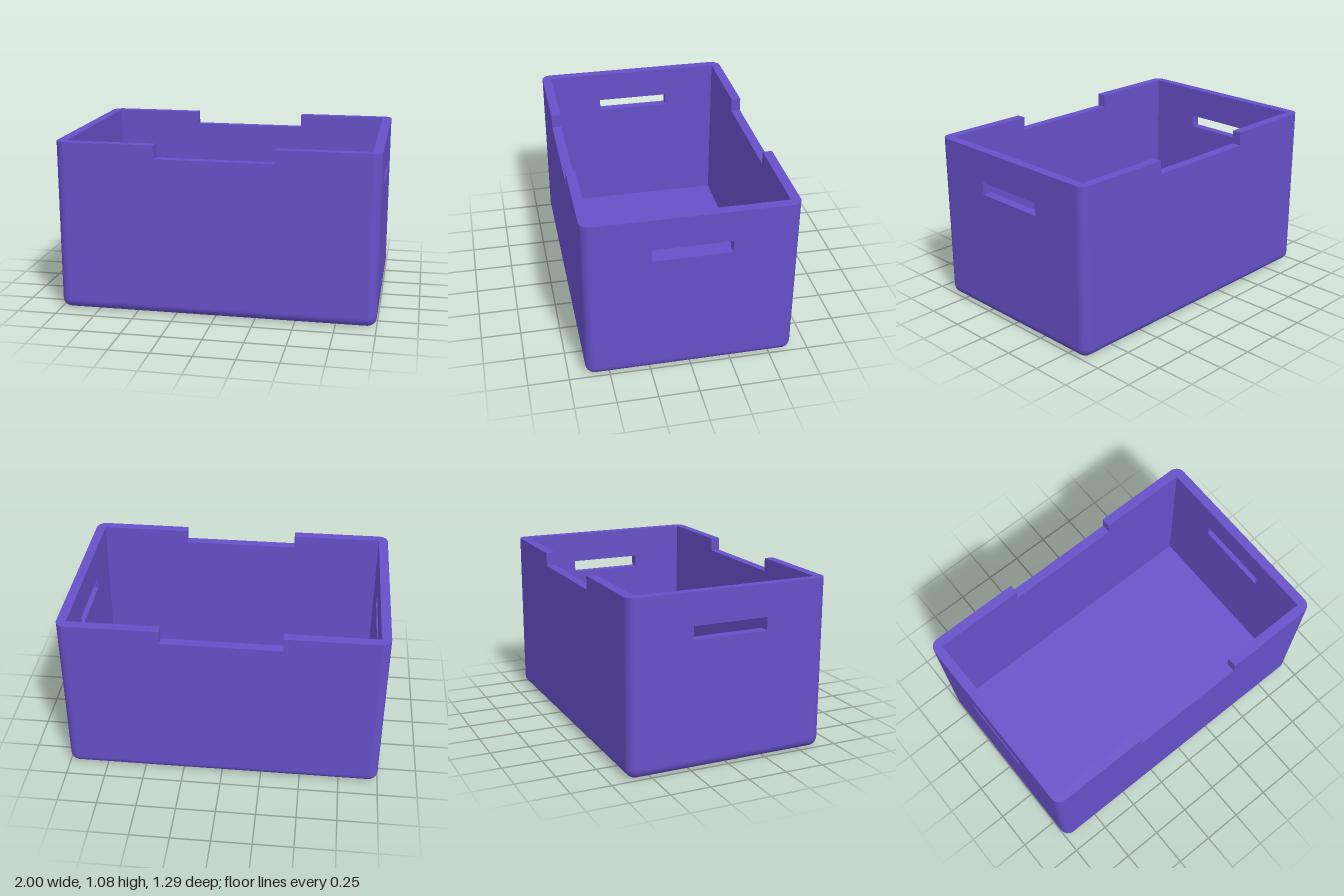
import * as THREE from 'three';

const HX = 0.94, HZ = 0.585;   // inner half sizes
const R = 0.06;                // wall thickness and outer rounding
const H = 1.08;                // overall height
const SEG = 6;
const Q = Math.PI / 2;

// Wall panel extruded outwards, without the faces hidden in the seams
function panel(shape, half) {
  const src = new THREE.ExtrudeGeometry(shape, { depth: R, bevelEnabled: false });
  const p = src.attributes.position, kept = [];
  const near = (a, b) => Math.abs(a - b) < 1e-5;
  for (let i = 0; i < p.count; i += 3) {
    const t = [i, i + 1, i + 2];
    const hidden = t.every(j => near(p.getX(j), half)) || t.every(j => near(p.getX(j), -half)) ||
      t.every(j => near(p.getY(j), R));
    if (!hidden) t.forEach(j => kept.push(p.getX(j), p.getY(j), p.getZ(j)));
  }
  const g = new THREE.BufferGeometry();
  g.setAttribute('position', new THREE.Float32BufferAttribute(kept, 3));
  g.computeVertexNormals();
  return g;
}

function polygon(points) {
  return new THREE.Shape(points.map(([x, y]) => new THREE.Vector2(x, y)));
}

// Long wall with a shallow notch in the rim
function notchedWall() {
  const n = 0.37, y = 0.995;
  return polygon([[-HX, R], [HX, R], [HX, H], [n, H], [n, y], [-n, y], [-n, H], [-HX, H]]);
}

// Short wall with a hand slot
function slottedWall() {
  const s = polygon([[-HZ, R], [HZ, R], [HZ, H], [-HZ, H]]);
  const w = 0.24, y0 = 0.8, y1 = 0.88;
  s.holes.push(polygon([[-w, y0], [-w, y1], [w, y1], [w, y0]]));
  return s;
}

export function createModel() {
  const model = new THREE.Group();
  model.name = 'storageBin';
  const mat = new THREE.MeshStandardMaterial({ color: 0x6650c8 });
  const add = (parent, geo, name, x = 0, y = 0, z = 0) => {
    const m = new THREE.Mesh(geo, mat);
    m.name = name;
    m.position.set(x, y, z);
    parent.add(m);
  };

  // Four walls, each with its rounded bottom edge
  ['frontWall', 'leftWall', 'backWall', 'rightWall'].forEach((name, k) => {
    const long = k % 2 === 0;
    const half = long ? HX : HZ, offset = long ? HZ : HX;
    const wall = new THREE.Group();
    wall.name = name;
    wall.rotation.y = k * Q;
    add(wall, panel(long ? notchedWall() : slottedWall(), half), name + 'Panel', 0, 0, offset);
    const edge = new THREE.CylinderGeometry(R, R, half * 2, SEG, 1, true, -Q, Q).rotateZ(Q);
    add(wall, edge, name + 'BottomEdge', 0, R, offset);
    model.add(wall);
  });

  // Rounded vertical corners with rim caps and ball-shaped feet
  [[1, 1], [1, -1], [-1, -1], [-1, 1]].forEach(([sx, sz], k) => {
    const corner = new THREE.Group();
    corner.name = 'corner' + (k + 1);
    corner.position.set(sx * HX, 0, sz * HZ);
    add(corner, new THREE.CylinderGeometry(R, R, H - R, SEG, 1, true, k * Q, Q), 'cornerPost', 0, (H + R) / 2, 0);
    add(corner, new THREE.CircleGeometry(R, SEG, (k - 1) * Q, Q).rotateX(-Q), 'cornerRim', 0, H, 0);
    add(corner, new THREE.SphereGeometry(R, SEG, SEG, (k + 1) * Q, Q, Q, Q), 'cornerFoot', 0, R, 0);
    model.add(corner);
  });

  // Floor, inside and underside
  add(model, new THREE.PlaneGeometry(HX * 2, HZ * 2).rotateX(-Q), 'floorInside', 0, R, 0);
  add(model, new THREE.PlaneGeometry(HX * 2, HZ * 2).rotateX(Q), 'floorUnderside');

  return model;
}
